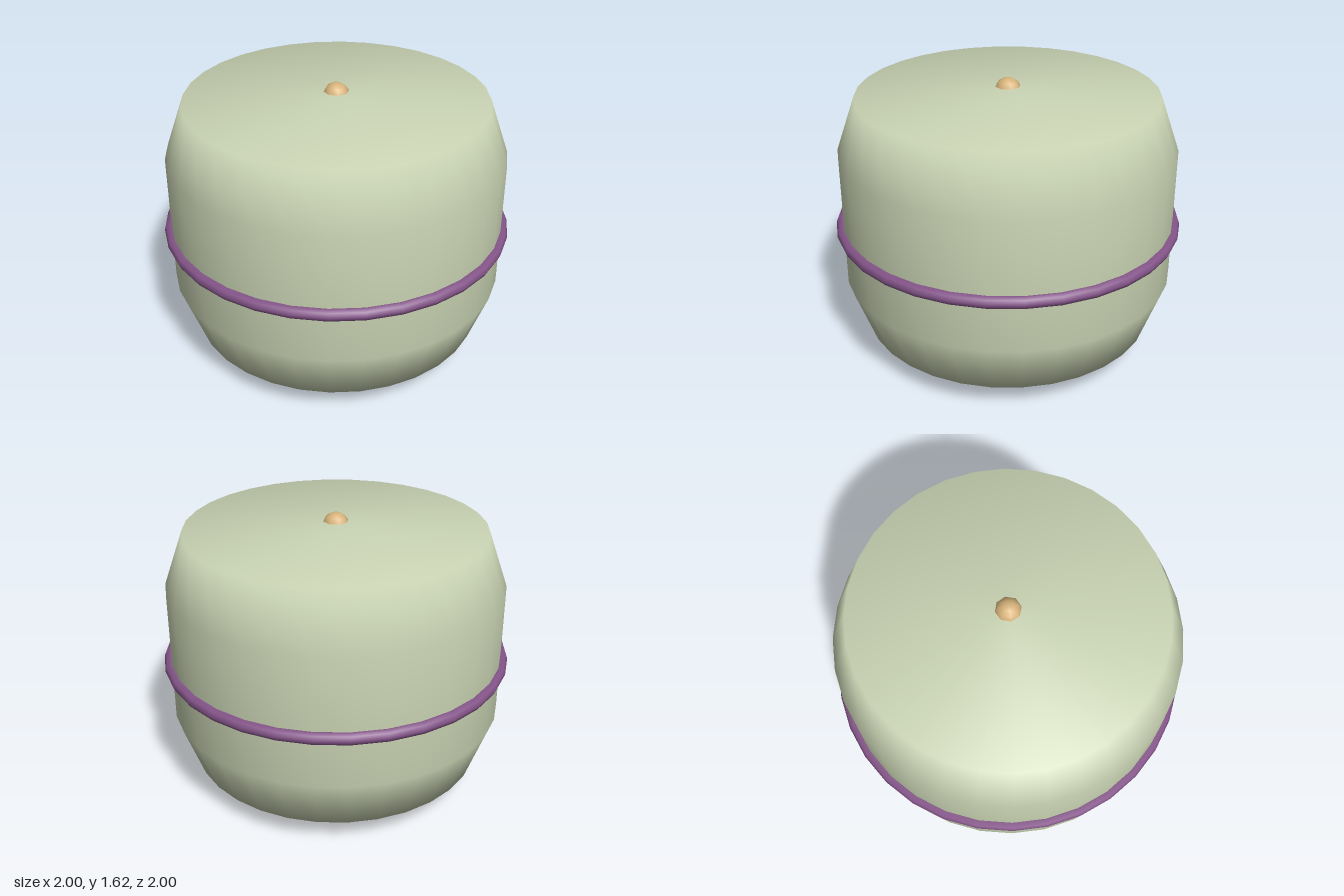
import * as THREE from 'three';

export function createModel() {
  const group = new THREE.Group();
  const mat = (name, color) => {
    const m = new THREE.MeshStandardMaterial({ color });
    m.name = name;
    return m;
  };
  const sage = mat('sage', 0xc8d2b2);
  const purple = mat('purple', 0x85558a);
  const tan = mat('tan', 0xd8b47c);

  const add = (name, geometry, material, x = 0, y = 0, z = 0) => {
    const mesh = new THREE.Mesh(geometry, material);
    mesh.name = name;
    mesh.position.set(x, y, z);
    group.add(mesh);
    return mesh;
  };

  // Drum body with chamfered rims and a very shallow domed lid
  const profile = [
    [0, 0.16], [0.85, 0.16], [0.96, 0.47], [0.96, 1.23], [0.85, 1.54], [0, 1.58],
  ].map(([r, y]) => new THREE.Vector2(r, y));
  add('body', new THREE.LatheGeometry(profile, 32), sage);

  // Band around the middle
  const band = new THREE.TorusGeometry(0.965, 0.035, 8, 32);
  band.rotateX(-Math.PI / 2);
  add('band', band, purple, 0, 0.775, 0);

  // Knob on the lid
  add('knob', new THREE.SphereGeometry(0.077, 8, 8), tan, 0, 1.547, 0);

  // Four ball feet
  const foot = new THREE.SphereGeometry(0.095, 8, 8);
  for (const x of [-0.41, 0.41]) {
    for (const z of [-0.41, 0.41]) {
      add(`${z > 0 ? 'front' : 'back'}${x > 0 ? 'Left' : 'Right'}Foot`, foot, tan, x, 0.097, z);
    }
  }
  return group;
}
